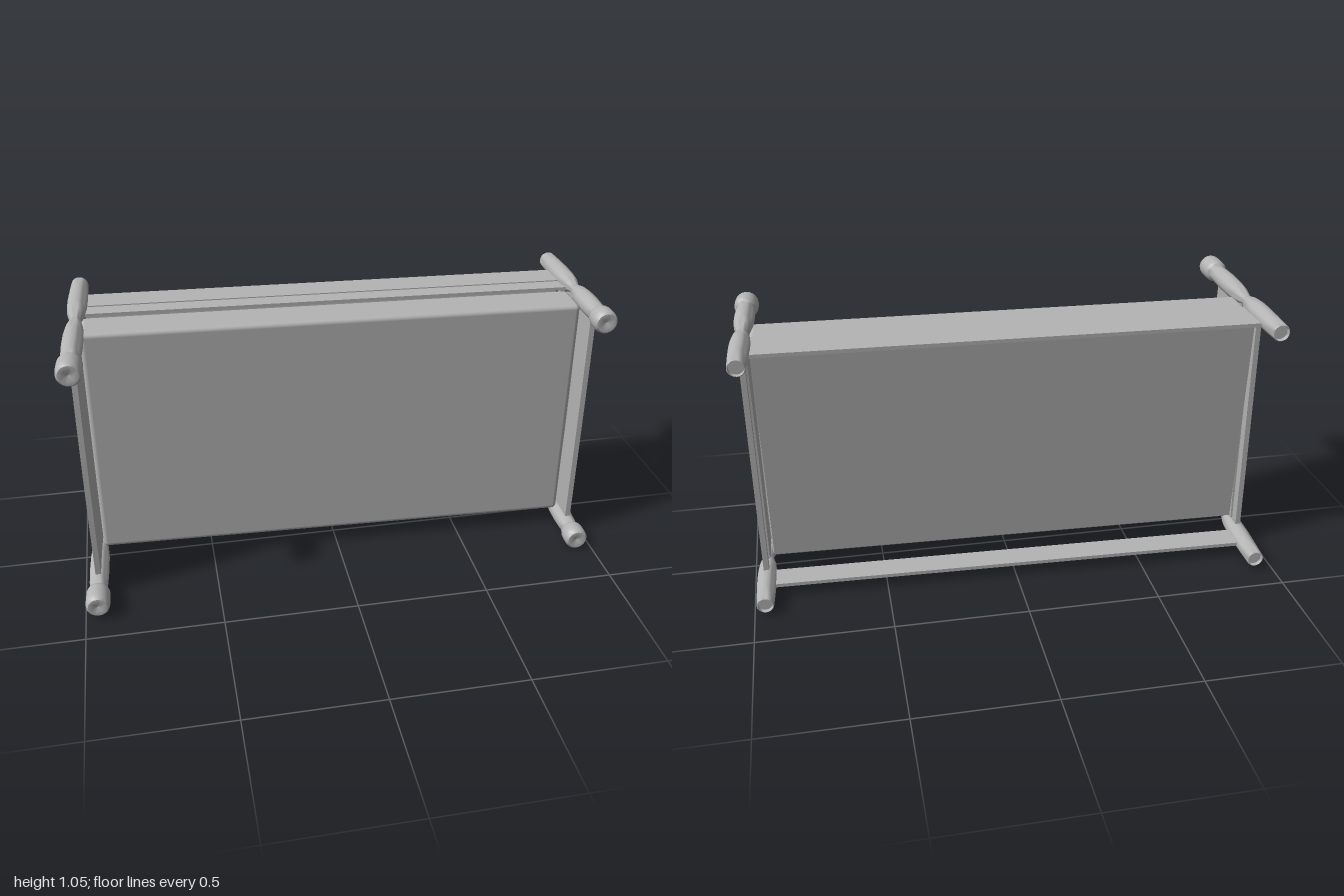
import * as THREE from 'three';
import { toCreasedNormals } from 'three/addons/utils/BufferGeometryUtils.js';
import { RoundedBoxGeometry } from 'three/addons/geometries/RoundedBoxGeometry.js';

// A bed frame with mattress, tipped over on its long side.
export function createModel() {
  const grey = new THREE.MeshStandardMaterial({ color: 0xb4b4b4 });
  grey.name = 'grey';
  const model = new THREE.Group();
  model.name = 'tippedBed';
  const bed = new THREE.Group();
  bed.name = 'bed';
  bed.position.y = 0.525;
  bed.rotation.set(-0.003, -0.034, -0.005);
  model.add(bed);

  const add = (name, geometry, x = 0, y = 0, z = 0) => {
    const mesh = new THREE.Mesh(geometry, grey);
    mesh.name = name;
    mesh.position.set(x, y, z);
    bed.add(mesh);
    return mesh;
  };

  // Turned post along z: recessed foot, two swollen shafts, a waist and a knob
  const postGeometry = (back, waist, neck, end) => {
    const lower = waist - back, upper = neck - waist;
    const profile = [
      [0, back + 0.015], [0.027, back + 0.015], [0.029, back], [0.032, back + 0.003],
      [0.035, back + lower * 0.25], [0.037, back + lower * 0.5], [0.036, back + lower * 0.68],
      [0.031, back + lower * 0.85], [0.022, waist - 0.015], [0.019, waist], [0.022, waist + 0.015],
      [0.031, waist + upper * 0.2], [0.036, waist + upper * 0.4], [0.037, waist + upper * 0.65],
      [0.035, waist + upper * 0.85], [0.031, neck], [0.04, neck + 0.007], [0.044, neck + 0.02],
      [0.045, end - 0.03], [0.043, end - 0.01], [0.036, end - 0.001], [0.02, end], [0.008, end - 0.006], [0, end - 0.01],
    ].map(([r, t]) => new THREE.Vector2(r, t));
    const geometry = new THREE.LatheGeometry(profile, 20);
    geometry.rotateX(Math.PI / 2);
    return toCreasedNormals(geometry, 0.7);
  };

  // Board in the y-z plane whose long edges may bow toward +z
  const board = (name, x, low, high, lowBow, highBow, thick = 0.02) => {
    const h = 0.455;
    const shape = new THREE.Shape();
    shape.moveTo(low, -h);
    shape.quadraticCurveTo(low + 2 * lowBow, 0, low, h);
    shape.lineTo(high, h);
    shape.quadraticCurveTo(high + 2 * highBow, 0, high, -h);
    shape.closePath();
    const geometry = new THREE.ExtrudeGeometry(shape, { depth: thick, bevelEnabled: false, curveSegments: 14 });
    geometry.translate(0, 0, -thick / 2);
    geometry.rotateY(-Math.PI / 2);
    add(name, toCreasedNormals(geometry, 0.5), x);
  };

  // Head and foot posts
  const headX = -0.936, footX = 0.949;
  for (const side of [-1, 1]) {
    add('headPost', postGeometry(-0.37, -0.018, 0.325, 0.43), headX, side * 0.473);
    add('footPost', postGeometry(-0.377, -0.054, 0.2, 0.283), footX, side * 0.473);
  }

  // Headboard and footboard, each with two boards and a low crossbar
  board('headboardUpper', headX, 0.0, 0.27, 0.015, 0.017);
  board('headboardLower', headX, -0.105, -0.015, 0.015, 0);
  board('headCrossbar', headX, -0.16, -0.12, 0, 0);
  board('footboardUpper', footX, 0.03, 0.158, 0.017, 0.002);
  board('footboardLower', footX, -0.108, 0.013, 0.017, 0);
  board('footCrossbar', footX, -0.196, -0.166, 0, 0);

  // Mattress
  add('mattress', new RoundedBoxGeometry(1.85, 0.912, 0.16, 3, 0.018), 0.004, 0.004, 0);

  // Side rails
  const railLength = footX - headX - 0.03;
  add('upperRail', new THREE.BoxGeometry(railLength, 0.014, 0.114), 0.006, 0.466, -0.207);
  add('upperRailLedge', new THREE.BoxGeometry(railLength, 0.012, 0.066), 0.006, 0.463, -0.117);
  add('lowerRail', new THREE.BoxGeometry(railLength, 0.014, 0.1), 0.006, -0.472, -0.205);

  // Base panel, slumped toward the mattress along its lower edge
  const panel = add('basePanel', new THREE.BoxGeometry(1.83, 0.855, 0.008), 0.004, 0.012, -0.148);
  panel.rotation.x = -0.068;

  return model;
}
